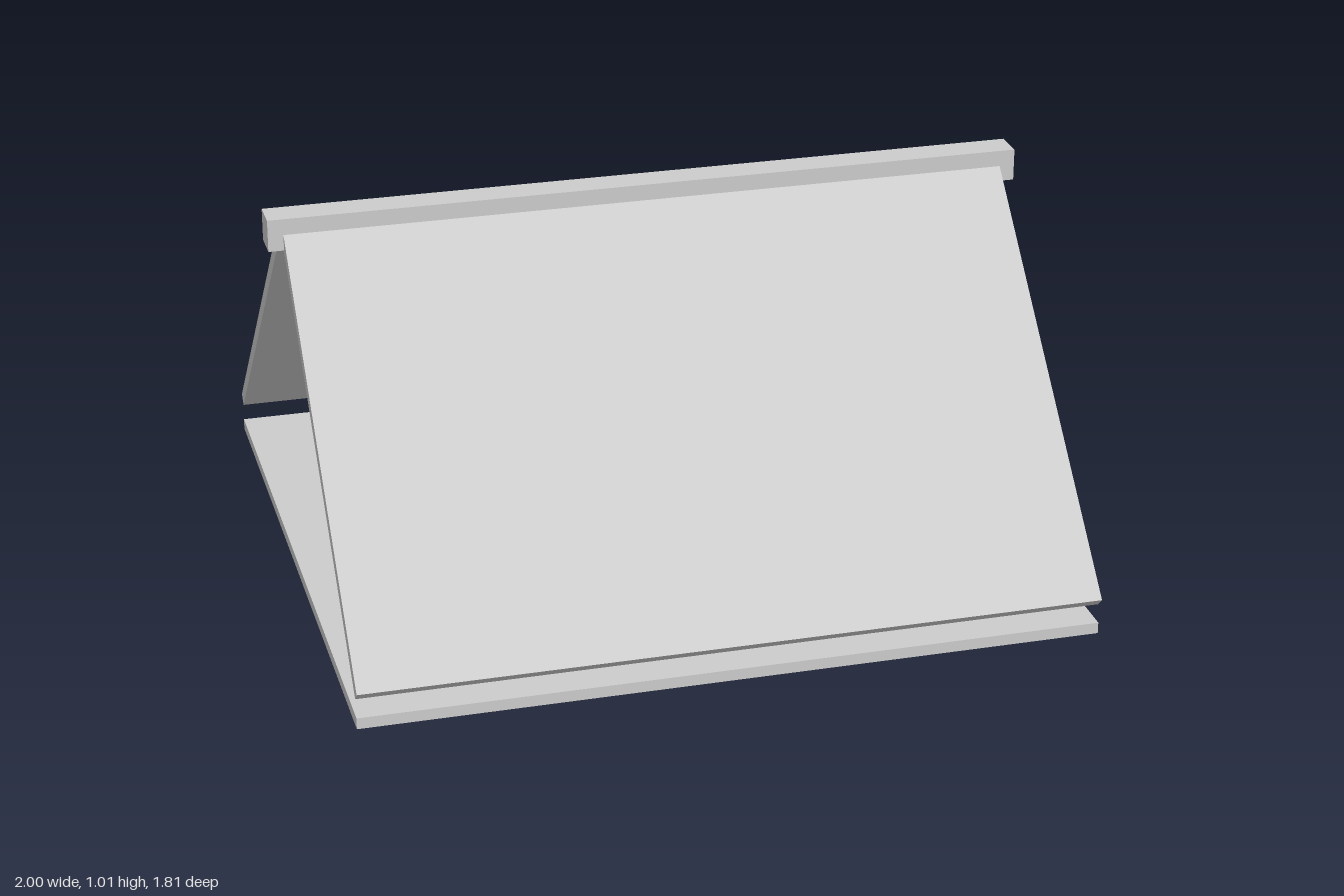
import * as THREE from 'three';

export function createModel() {
  const group = new THREE.Group();
  const grey = new THREE.MeshStandardMaterial({ color: 0xcccccc });
  grey.name = 'light grey';

  const addBox = (name, w, h, d, y, z = 0, tilt = 0) => {
    const mesh = new THREE.Mesh(new THREE.BoxGeometry(w, h, d), grey);
    mesh.name = name;
    mesh.position.set(0, y, z);
    mesh.rotation.x = tilt;
    group.add(mesh);
  };

  // flat floor board
  addBox('floor', 1.92, 0.03, 1.775, 0.015);

  // ridge beam, overhanging both ends
  addBox('ridgeBeam', 2, 0.085, 0.085, 0.964);

  // two sloping roof panels meeting inside the ridge beam
  for (const [name, side] of [['frontRoofPanel', 1], ['backRoofPanel', -1]]) {
    addBox(name, 1.92, 0.034, 1.249, 0.5325, side * 0.4495, side * Math.PI / 4);
  }

  return group;
}
